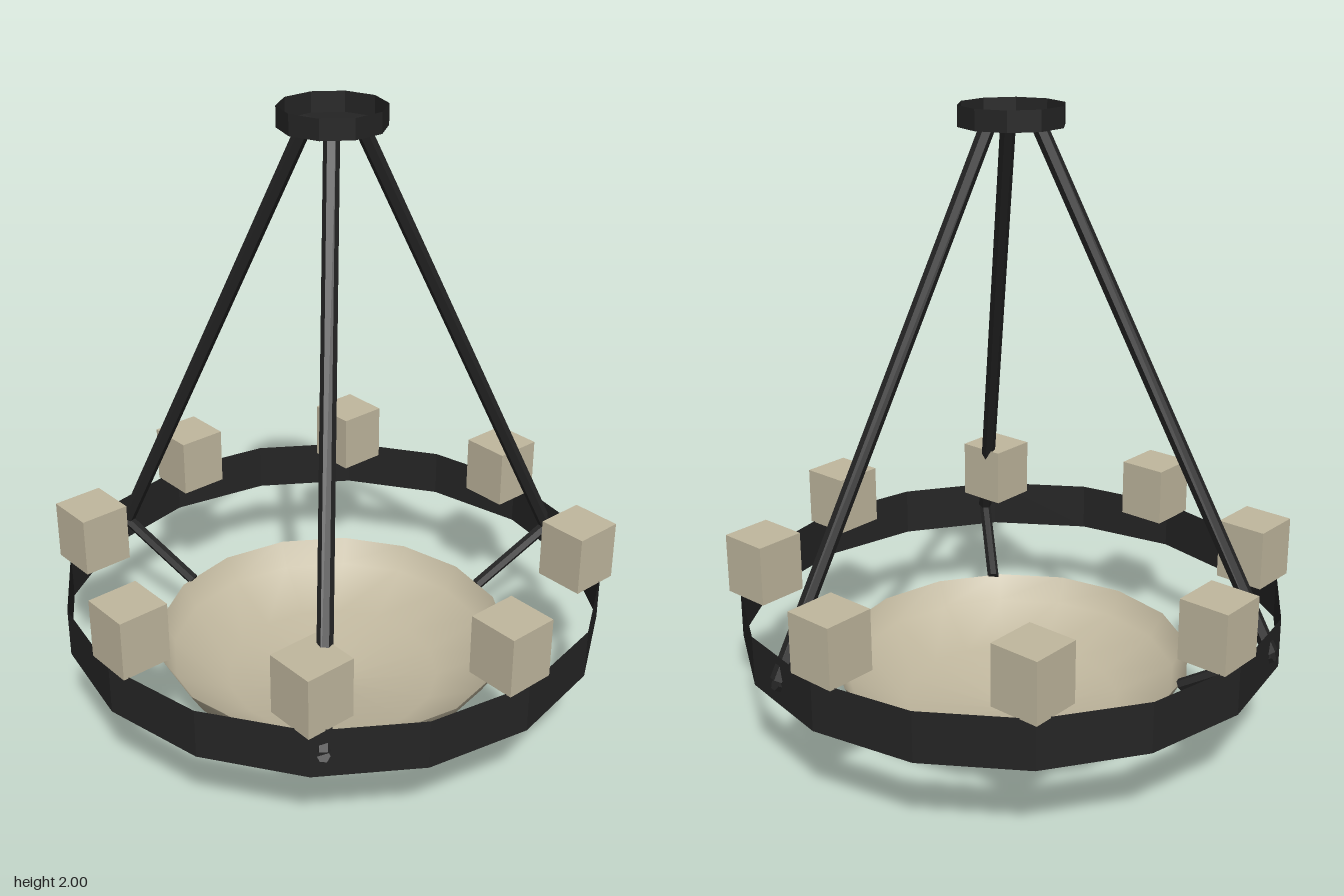
import * as THREE from 'three';

const iron = new THREE.MeshStandardMaterial({ name: 'black iron', color: 0x242424, flatShading: true, side: THREE.DoubleSide });
const glass = new THREE.MeshStandardMaterial({ name: 'cream glass', color: 0xc0b79e, side: THREE.DoubleSide });

function add(parent, name, geometry, material, x = 0, y = 0, z = 0) {
  const mesh = new THREE.Mesh(geometry, material);
  mesh.name = name;
  mesh.position.set(x, y, z);
  parent.add(mesh);
  return mesh;
}

// Straight bar in the x-y plane, given as [radius, height] ends
function bar(parent, name, a, b, radius) {
  const from = new THREE.Vector3(a[0], a[1], 0);
  const to = new THREE.Vector3(b[0], b[1], 0);
  const dir = to.clone().sub(from);
  const mid = from.clone().add(to).multiplyScalar(0.5);
  const mesh = add(parent, name, new THREE.CylinderGeometry(radius, radius, dir.length(), 6), iron, mid.x, mid.y, 0);
  mesh.quaternion.setFromUnitVectors(new THREE.Vector3(0, 1, 0), dir.normalize());
}

export function createModel() {
  const model = new THREE.Group();
  model.name = 'chandelier';

  // Ceiling canopy: shallow cup, open at the top
  const canopy = [[0, 1.937], [0.163, 1.937], [0.163, 2]].map(p => new THREE.Vector2(...p));
  add(model, 'canopy', new THREE.LatheGeometry(canopy, 10), iron);

  // Thin sixteen-sided band
  add(model, 'ring', new THREE.CylinderGeometry(0.875, 0.875, 0.163, 16, 1, true), iron, 0, 0.388, 0);

  // Glass bowl with a tiny hole at the bottom
  const bowl = [[0.02, 0], [0.355, 0.047], [0.54, 0.14], [0.588, 0.22]].map(p => new THREE.Vector2(...p));
  add(model, 'bowl', new THREE.LatheGeometry(bowl, 16), glass);

  // Three hanging rods, each with a lower arm reaching the bowl
  for (let i = 0; i < 3; i++) {
    const support = new THREE.Group();
    support.name = 'support';
    bar(support, 'rod', [0.085, 1.945], [0.86, 0.39], 0.024);
    bar(support, 'bowlArm', [0.87, 0.38], [0.58, 0.215], 0.02);
    support.rotation.y = -THREE.MathUtils.degToRad(42.5 + i * 120);
    model.add(support);
  }

  // Eight square shades on the ring, open underneath
  const shade = new THREE.BoxGeometry(0.165, 0.195, 0.165);
  const index = Array.from(shade.index.array);
  index.splice(18, 6);
  shade.setIndex(index);
  shade.clearGroups();
  for (let i = 0; i < 8; i++) {
    const a = i * Math.PI / 4;
    add(model, 'shade', shade, glass, 0.793 * Math.cos(a), 0.563, 0.793 * Math.sin(a));
  }

  return model;
}
